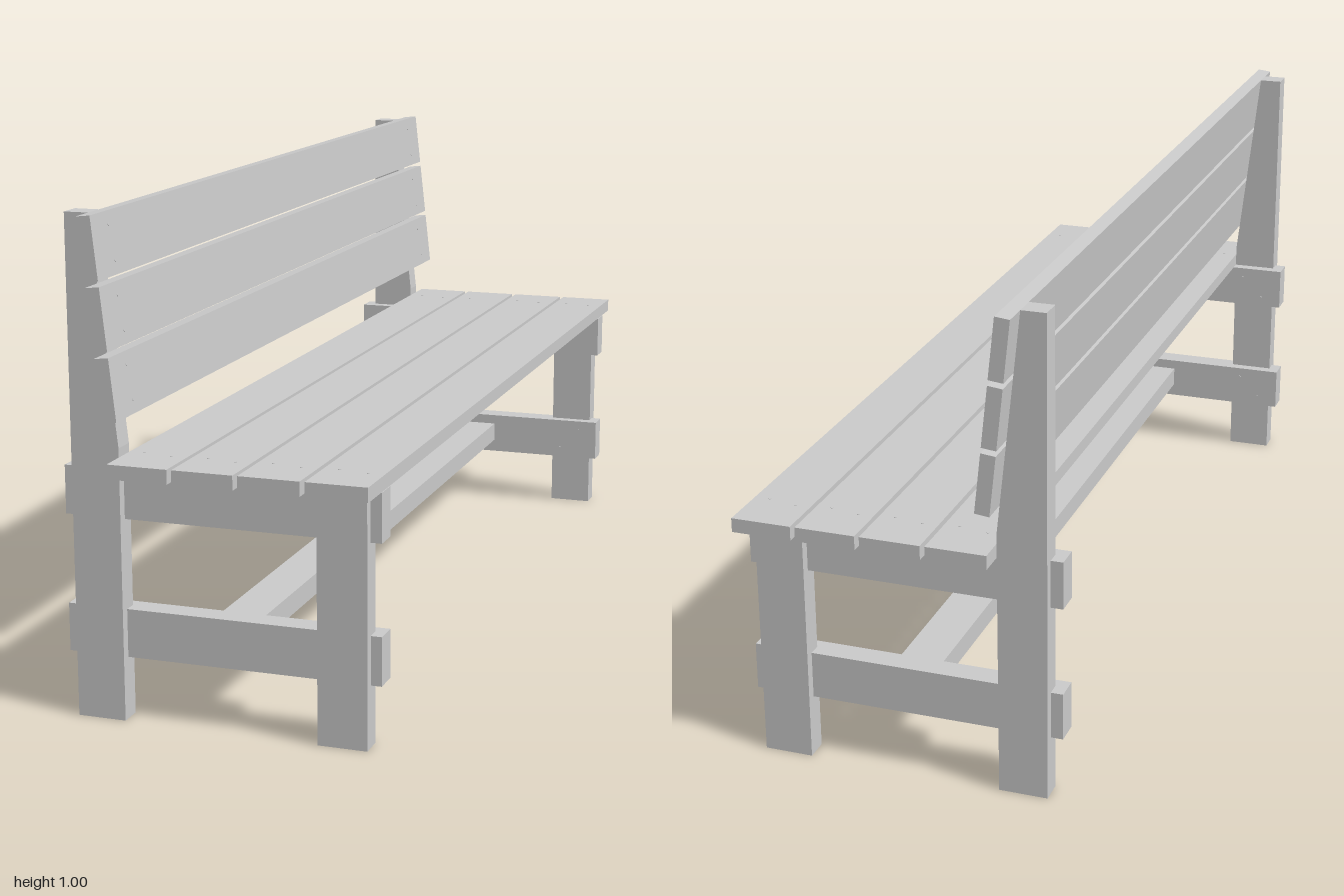
import * as THREE from 'three';

const material = new THREE.MeshStandardMaterial({ color: 0xcccccc, flatShading: true });

// Box given by its limits on each axis
function board(parent, name, [x0, x1], [y0, y1], [z0, z1]) {
  const mesh = new THREE.Mesh(new THREE.BoxGeometry(x1 - x0, y1 - y0, z1 - z0), material);
  mesh.position.set((x0 + x1) / 2, (y0 + y1) / 2, (z0 + z1) / 2);
  mesh.name = name;
  parent.add(mesh);
  return mesh;
}

// Small nail head standing just proud of a board, along 'x', 'y' or 'z'
const nailGeometry = new THREE.CylinderGeometry(0.003, 0.003, 0.004, 8);
function nail(parent, x, y, z, axis) {
  const mesh = new THREE.Mesh(nailGeometry, material);
  mesh.position.set(x, y, z);
  if (axis === 'x') mesh.rotation.z = Math.PI / 2;
  if (axis === 'z') mesh.rotation.x = Math.PI / 2;
  mesh.name = 'nail';
  parent.add(mesh);
}

export function createModel() {
  const bench = new THREE.Group();
  bench.name = 'bench';

  // Back leg: upright whose front edge tapers above the seat
  const profile = new THREE.Shape([
    [-0.3, 0], [-0.2, 0], [-0.2, 0.55], [-0.25, 1], [-0.3, 1],
  ].map(([x, y]) => new THREE.Vector2(x, y)));
  const backLegGeometry = new THREE.ExtrudeGeometry(profile, { depth: 0.047, bevelEnabled: false });

  // End frames: two legs outside, two rails lapped into their inner faces
  for (const side of [-1, 1]) {
    const frame = new THREE.Group();
    frame.name = side > 0 ? 'frontEndFrame' : 'rearEndFrame';
    const span = (a, b) => (side > 0 ? [a, b] : [-b, -a]);

    const backLeg = new THREE.Mesh(backLegGeometry, material);
    backLeg.position.z = span(0.898, 0.945)[0];
    backLeg.name = 'backLeg';
    frame.add(backLeg);
    board(frame, 'frontLeg', [0.2, 0.3], [0, 0.5], span(0.898, 0.945));
    board(frame, 'seatRail', [-0.325, 0.322], [0.405, 0.503], span(0.874, 0.925));
    board(frame, 'lowerRail', [-0.325, 0.322], [0.125, 0.223], span(0.874, 0.925));

    // Nails through the rails into the legs
    for (const x of [-0.25, 0.25])
      for (const y of [0.454, 0.174])
        for (const d of [-1, 1]) nail(frame, x + d * 0.025, y + d * 0.025, side * 0.8735, 'z');
    bench.add(frame);
  }

  // Stretcher joining the lower rails
  board(bench, 'stretcher', [-0.045, 0.045], [0.155, 0.2], [-0.875, 0.875]);

  // Seat of four planks
  const seat = new THREE.Group();
  seat.name = 'seat';
  for (let i = 0; i < 4; i++) {
    const x = -0.2 + i * 0.1325;
    board(seat, 'seatPlank', [x, x + 0.123], [0.503, 0.532], [-1, 1]);
    for (const z of [-0.9, 0.9])
      for (const d of [-1, 1]) nail(seat, x + 0.0615 + d * 0.03, 0.531, z + d * 0.005, 'y');
  }
  bench.add(seat);

  // Backrest of three planks leaning along the taper
  const backrest = new THREE.Group();
  backrest.name = 'backrest';
  backrest.position.set(-0.25, 1, 0);
  backrest.rotation.z = Math.atan(0.05 / 0.45);
  for (let i = 0; i < 3; i++) {
    const y = -i * 0.134;
    board(backrest, 'backPlank', [0, 0.03], [y - 0.123, y], [-1, 1]);
    for (const z of [-0.922, 0.922])
      for (const d of [-1, 1]) nail(backrest, 0.029, y - 0.0615 + d * 0.035, z + d * 0.005, 'x');
  }
  bench.add(backrest);

  return bench;
}
